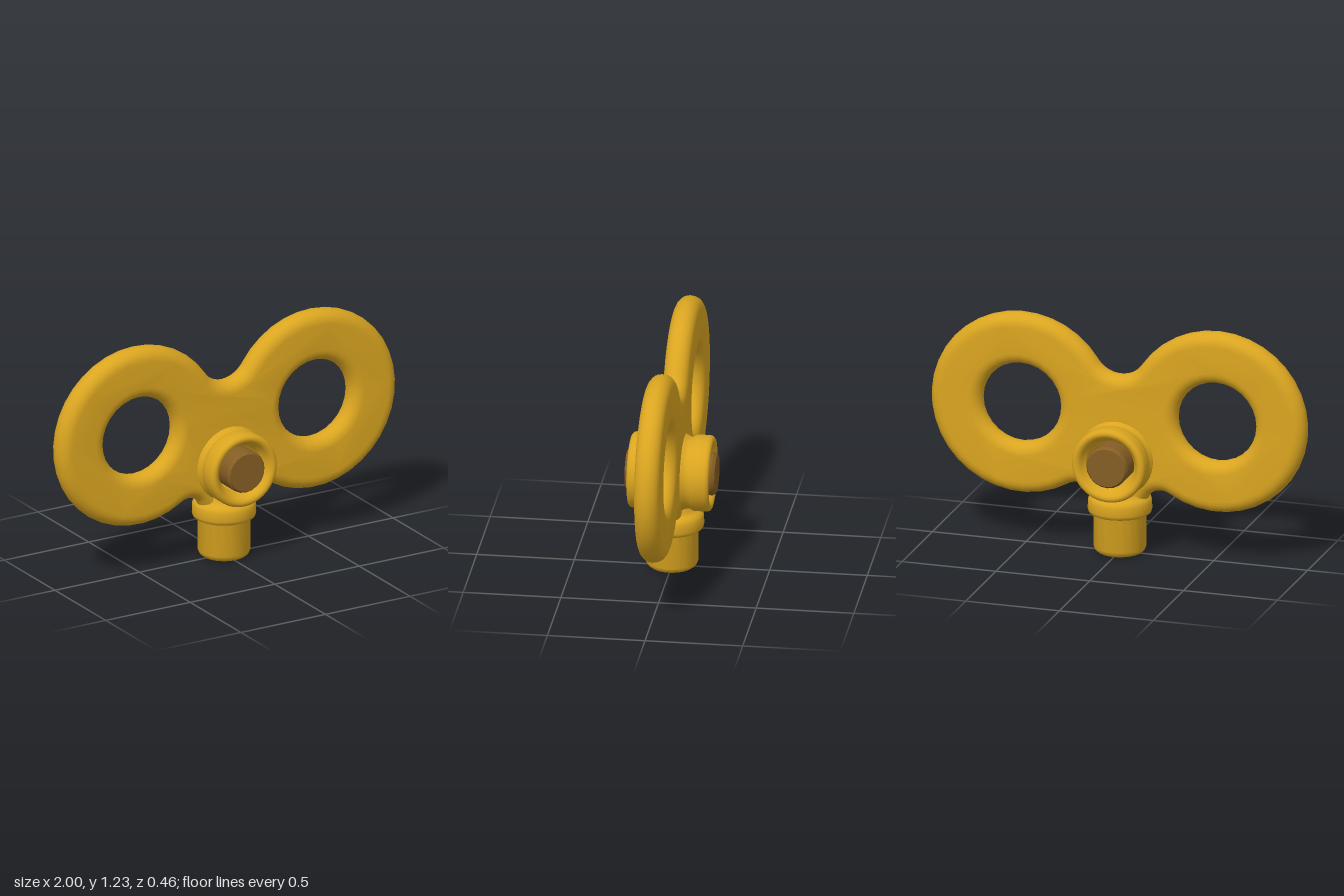
import * as THREE from 'three';
import { toCreasedNormals } from 'three/addons/utils/BufferGeometryUtils.js';

const HUB_Y = 0.517;

// Revolve a [radius, height] profile, keeping only hard corners sharp
function lathe(points, segments, crease) {
  const profile = points.map(([r, y]) => new THREE.Vector2(r, y));
  return toCreasedNormals(new THREE.LatheGeometry(profile, segments), crease);
}

// Double-ring handle: two circles joined by tangent fillets
function handleGeometry() {
  const cx = 0.52, cy = 0.75, R = 0.48, PI = Math.PI;
  const topY = 1.093, lowX = 0.225, lowY = 0.268;
  const topR = Math.hypot(cx, topY - cy) - R;
  const lowR = Math.hypot(cx - lowX, cy - lowY) - R;
  const a0 = Math.atan2(lowY - cy, lowX - cx);
  const a1 = Math.atan2(topY - cy, -cx);
  const inner = 2.44; // where the lower fillet meets the stem

  const shape = new THREE.Shape();
  shape.absarc(cx, cy, R, a0, a1, false);
  shape.absarc(0, topY, topR, a1 - PI, -a1, true);
  shape.absarc(-cx, cy, R, PI - a1, PI - a0, false);
  shape.absarc(-lowX, lowY, lowR, -a0, PI - inner, true);
  shape.lineTo(-0.12, 0.23);
  shape.lineTo(0.12, 0.23);
  shape.absarc(lowX, lowY, lowR, inner, a0 + PI, true);

  for (const [x, y, r] of [[cx, cy, 0.21], [-cx, cy, 0.21], [0, HUB_Y, 0.09]]) {
    shape.holes.push(new THREE.Path().absarc(x, y, r, 0, PI * 2, true));
  }
  const geo = new THREE.ExtrudeGeometry(shape, {
    depth: 0.002, curveSegments: 14, bevelEnabled: true,
    bevelThickness: 0.064, bevelSize: 0.064, bevelOffset: -0.064, bevelSegments: 6,
  });
  geo.translate(0, 0, -0.001);

  // Straighten the middle bore so its wall stays hidden inside the hub
  const p = geo.attributes.position;
  for (let i = 0; i < p.count; i++) {
    const x = p.getX(i), y = p.getY(i) - HUB_Y, d = Math.hypot(x, y);
    if (d < 0.165) p.setXY(i, x / d * 0.15, HUB_Y + y / d * 0.15);
  }
  return toCreasedNormals(geo, 0.7);
}

// Hub sleeve: rounded lips at both ends and an open bore
function hubGeometry() {
  const outer = [
    [0.2, 0.06], [0.19, 0.075], [0.183, 0.09], [0.184, 0.105], [0.192, 0.118],
    [0.195, 0.13], [0.195, 0.188], [0.191, 0.201], [0.182, 0.209], [0.172, 0.211],
    [0.16, 0.207], [0.15, 0.196], [0.143, 0.18], [0.133, 0.165], [0.125, 0.155],
  ];
  const mirrored = outer.map(([r, z]) => [r, -z]).reverse();
  return lathe([...mirrored, ...outer, mirrored[0]], 40, 0.9);
}

// Stem with collar, rounded foot and a threaded socket
function stemGeometry() {
  const thread = [];
  for (let y = 0.17; y > 0.03; y -= 0.024) thread.push([0.068, y], [0.056, y - 0.012]);
  return lathe([
    [0, 0.18], [0.06, 0.18], ...thread, [0.066, 0.012], [0.074, 0.003],
    [0.095, 0.002], [0.113, 0.006], [0.127, 0.017], [0.134, 0.035],
    [0.135, 0.2], [0.138, 0.21], [0.15, 0.214], [0.16, 0.221], [0.164, 0.235],
    [0.163, 0.28], [0.158, 0.295], [0.147, 0.306], [0.133, 0.315],
    [0.122, 0.328], [0.117, 0.37], [0, 0.37],
  ], 40, 0.9);
}

export function createModel() {
  const gold = new THREE.MeshStandardMaterial({ color: 0xdaa520 });
  gold.name = 'gold';
  const brown = new THREE.MeshStandardMaterial({ color: 0x855e24 });
  brown.name = 'brown';

  const model = new THREE.Group();
  model.name = 'windUpKey';
  const add = (name, geometry, material) => {
    const mesh = new THREE.Mesh(geometry, material);
    mesh.name = name;
    model.add(mesh);
    return mesh;
  };

  add('handle', handleGeometry(), gold);
  add('stem', stemGeometry(), gold);

  const hub = add('hub', hubGeometry(), gold);
  // Loose pin running through the bore
  const pin = add('pin', lathe([
    [0, -0.23], [0.1, -0.23], [0.111, -0.214],
    [0.111, 0.214], [0.1, 0.23], [0, 0.23],
  ], 20, 0.5), brown);
  for (const part of [hub, pin]) {
    part.rotation.x = Math.PI / 2;
    part.position.y = HUB_Y;
  }
  return model;
}
